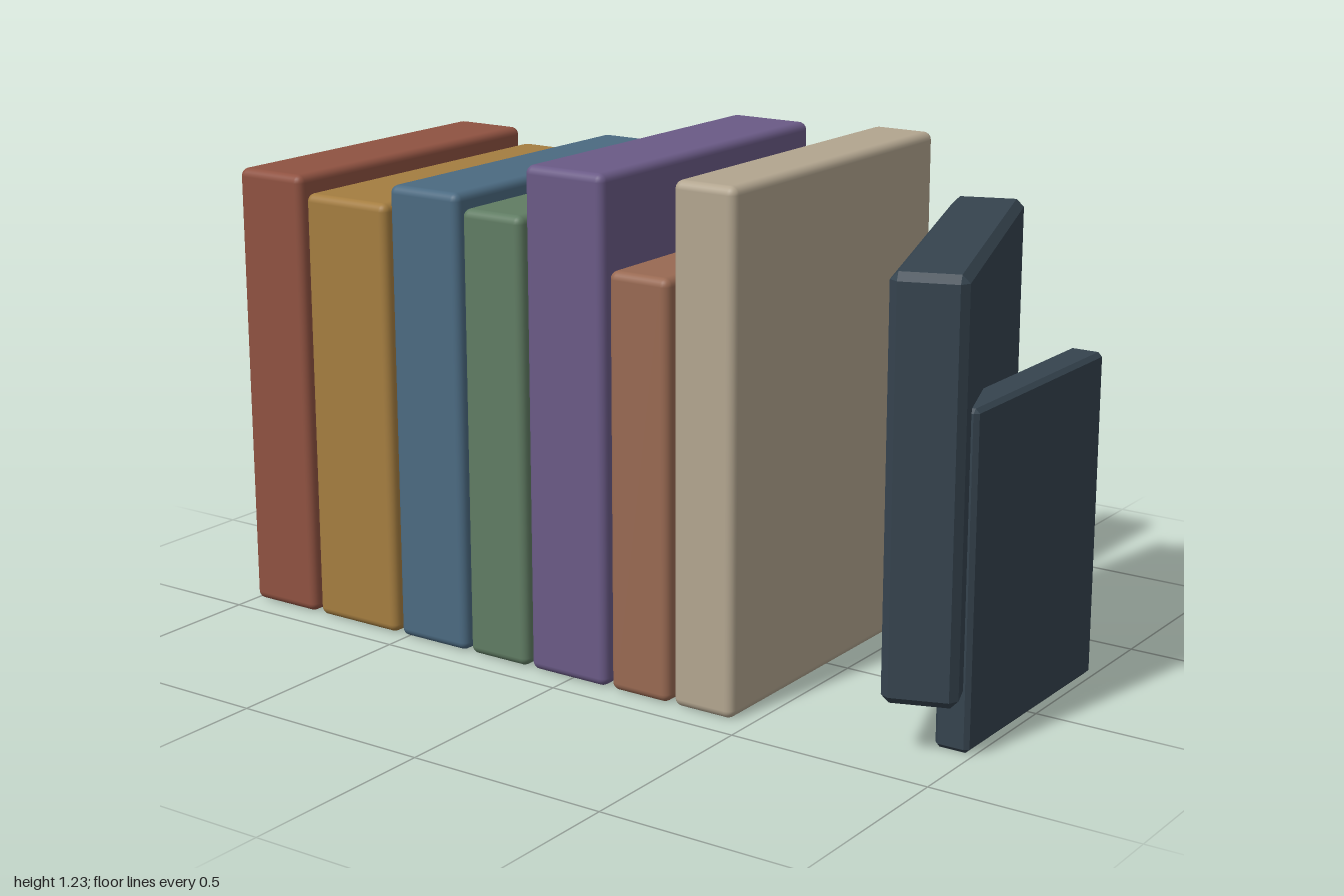
import * as THREE from 'three';
import { RoundedBoxGeometry } from 'three/addons/geometries/RoundedBoxGeometry.js';
import { ConvexGeometry } from 'three/addons/geometries/ConvexGeometry.js';

function material(name, color) {
  const m = new THREE.MeshStandardMaterial({ color });
  m.name = name;
  return m;
}

// Box with flat 45 degree chamfers on every edge
function chamferBox(w, h, d, c) {
  const points = [];
  const half = [w / 2, h / 2, d / 2];
  for (let axis = 0; axis < 3; axis++) {
    for (const sx of [-1, 1]) for (const sy of [-1, 1]) for (const sz of [-1, 1]) {
      const p = [sx, sy, sz].map((s, i) => s * (half[i] - (i === axis ? 0 : c)));
      points.push(new THREE.Vector3(...p));
    }
  }
  return new ConvexGeometry(points);
}

export function createModel() {
  const group = new THREE.Group();
  group.name = 'bookRow';

  const add = (name, geometry, mat, x, y) => {
    const mesh = new THREE.Mesh(geometry, mat);
    mesh.name = name;
    mesh.position.set(x, y, 0);
    group.add(mesh);
    return mesh;
  };

  // Upright books: name, colour, left edge, right edge, height
  const books = [
    ['red', 0x8f5241, -1.0, -0.8, 1.115],
    ['ochre', 0xa47d40, -0.785, -0.533, 1.075],
    ['blue', 0x4b6a81, -0.52, -0.313, 1.125],
    ['green', 0x607c63, -0.302, -0.128, 1.093],
    ['purple', 0x6a5a86, -0.117, 0.103, 1.215],
    ['copper', 0x986952, 0.117, 0.28, 1.0],
    ['beige', 0xb2a58f, 0.293, 0.455, 1.225],
  ];
  for (const [name, color, x0, x1, h] of books) {
    const geometry = new RoundedBoxGeometry(x1 - x0, h, 0.87, 3, 0.02);
    add(name + 'Book', geometry, material(name, color), (x0 + x1) / 2, h / 2);
  }

  const slate = material('slate', 0x35434e);

  // Turned book, raised off the floor
  const turned = add('turnedBook', chamferBox(0.17, 0.96, 0.87, 0.018), slate, 0.772, 0.61);
  turned.rotation.y = THREE.MathUtils.degToRad(20);

  // Bookend plate
  add('bookend', chamferBox(0.085, 0.785, 0.605, 0.01), slate, 0.945, 0.3925);

  return group;
}
